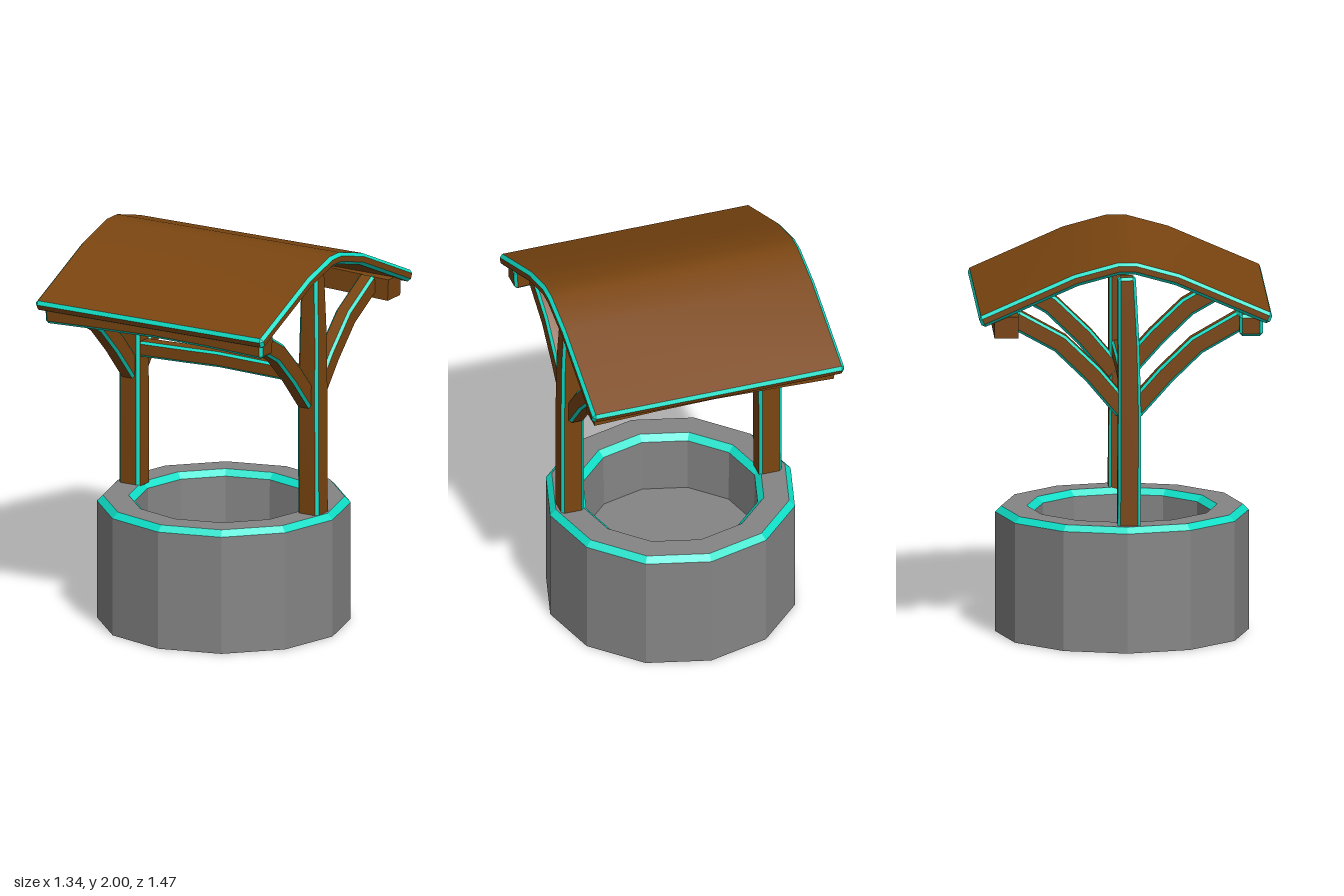
import * as THREE from 'three';

const stone = new THREE.MeshStandardMaterial({ color: 0x858585 });
stone.name = 'stone';
const wood = new THREE.MeshStandardMaterial({ color: 0x7a4510 });
wood.name = 'wood';
const trim = new THREE.MeshStandardMaterial({ color: 0x0fe0c8 });
trim.name = 'turquoise trim';

// Collects strips of quads; vertices are shared only inside one strip
function surface() {
  const pos = [], idx = [];
  return {
    strip(a, b) {
      const base = pos.length / 3;
      a.forEach((p, i) => pos.push(...p.toArray(), ...b[i].toArray()));
      for (let i = 0; i < a.length - 1; i++) {
        const k = base + 2 * i;
        idx.push(k, k + 2, k + 3, k, k + 3, k + 1);
      }
    },
    build() {
      const g = new THREE.BufferGeometry();
      g.setAttribute('position', new THREE.Float32BufferAttribute(pos, 3));
      g.setIndex(idx);
      g.computeVertexNormals();
      return g;
    },
  };
}

// Beam with chamfered edges swept along a path.
// path: [x, y, z, scale]; side: cross direction; w along side, h across it
function beam(name, path, side, w, h, b) {
  const S = new THREE.Vector3(...side);
  const P = path.map((p) => new THREE.Vector3(p[0], p[1], p[2]));
  const last = P.length - 1;
  const frame = (i) => {
    const T = P[Math.min(i + 1, last)].clone().sub(P[Math.max(i - 1, 0)]).normalize();
    return { T, N: S.clone().cross(T).normalize() };
  };
  const ring = (i, shift, cap) => {
    const { T, N } = frame(i);
    const k = path[i][3] ?? 1;
    const u = (w / 2) * k, v = (h / 2) * k, ui = u - b, vi = v - b;
    const U = cap ? ui : u, V = cap ? vi : v;
    return [
      [U, -vi], [U, vi], [ui, V], [-ui, V], [-U, vi], [-U, -vi], [-ui, -V], [ui, -V],
    ].map(([s, n]) =>
      P[i].clone().addScaledVector(S, s).addScaledVector(N, n).addScaledVector(T, shift));
  };
  const rings = P.map((_, i) => ring(i, i === 0 ? b : i === last ? -b : 0, false));
  const start = ring(0, 0, true), end = ring(last, 0, true);
  const faces = surface(), edges = surface();

  for (let j = 0; j < 8; j++) {
    const n = (j + 1) % 8;
    const flat = j % 2 === 0;
    if (flat || b > 0) (flat ? faces : edges).strip(rings.map((r) => r[j]), rings.map((r) => r[n]));
    if (b > 0) {
      edges.strip([start[j], rings[0][j]], [start[n], rings[0][n]]);
      edges.strip([rings[last][j], end[j]], [rings[last][n], end[n]]);
    }
  }
  // End caps
  faces.strip([start[0], start[2]], [start[6], start[4]]);
  faces.strip([end[0], end[6]], [end[2], end[4]]);

  const group = new THREE.Group();
  group.name = name;
  const add = (s, mat, part) => {
    const m = new THREE.Mesh(s.build(), mat);
    m.name = name + part;
    group.add(m);
  };
  add(faces, wood, 'Faces');
  if (b > 0) add(edges, trim, 'Edges');
  return group;
}

// Faceted twelve-sided ring from a profile
function ringMesh(name, profile, mat) {
  const g = new THREE.LatheGeometry(profile.map((p) => new THREE.Vector2(...p)), 12).toNonIndexed();
  g.computeVertexNormals();
  const m = new THREE.Mesh(g, mat);
  m.name = name;
  return m;
}

function createModel() {
  const model = new THREE.Group();
  model.name = 'well';

  // Stone basin with chamfered rim
  const basin = new THREE.Group();
  basin.name = 'basin';
  basin.position.set(0.005, 0, 0.01);
  basin.add(
    ringMesh('outerWall', [[0.44, 0], [0.637, 0], [0.637, 0.61]], stone),
    ringMesh('outerRimEdge', [[0.637, 0.61], [0.607, 0.64]], trim),
    ringMesh('rimTop', [[0.607, 0.64], [0.478, 0.64]], stone),
    ringMesh('innerRimEdge', [[0.478, 0.64], [0.446, 0.61]], trim),
    ringMesh('innerWall', [[0.446, 0.61], [0.44, 0]], stone),
    ringMesh('basinFloor', [[0, 0.31], [0.442, 0.31], [0.442, 0.325], [0, 0.325]], stone),
  );
  model.add(basin);

  // Curved roof
  model.add(beam('roof', [
    [0, 1.707, 0.73], [0, 1.912, 0.26], [0, 1.97, 0.05],
    [0, 1.97, -0.035], [0, 1.912, -0.25], [0, 1.70, -0.73],
  ], [1, 0, 0], 1.335, 0.06, 0.016));

  // Posts and their curved braces
  const X = [1, 0, 0];
  for (const [label, x, top] of [['left', 0.535, 0.527], ['right', -0.513, -0.517]]) {
    model.add(beam(label + 'Post', [
      [x, 0.62, 0.021, 1], [x, 1.2, 0.024, 1], [x, 1.55, 0.02, 0.93], [top, 1.905, 0.01, 0.78],
    ], X, 0.12, 0.115, 0.014));
    const bx = Math.sign(x) * 0.517;
    model.add(beam(label + 'FrontBrace', [
      [bx, 1.22, 0.04], [bx, 1.405, 0.205], [bx, 1.555, 0.36], [bx, 1.69, 0.595],
    ], X, 0.085, 0.097, 0.013));
    model.add(beam(label + 'BackBrace', [
      [bx, 1.22, 0.0], [bx, 1.41, -0.16], [bx, 1.57, -0.325], [bx, 1.70, -0.56],
    ], X, 0.085, 0.097, 0.013));
  }

  // Beams running along x
  const Z = [0, 0, 1];
  model.add(beam('crossbar', [
    [-0.48, 1.347, 0.02], [-0.2, 1.355, 0.02], [0, 1.362, 0.02], [0.2, 1.357, 0.02], [0.49, 1.35, 0.02],
  ], Z, 0.085, 0.08, 0.012));
  const eave = (z) => [
    [-0.637, 1.67, z], [-0.3, 1.682, z], [0, 1.69, z], [0.3, 1.685, z], [0.637, 1.672, z],
  ];
  model.add(beam('frontEaveBeam', eave(0.631), Z, 0.117, 0.11, 0.014));
  model.add(beam('backEaveBeam', eave(-0.598), Z, 0.122, 0.11, 0));

  return model;
}

export { createModel };
